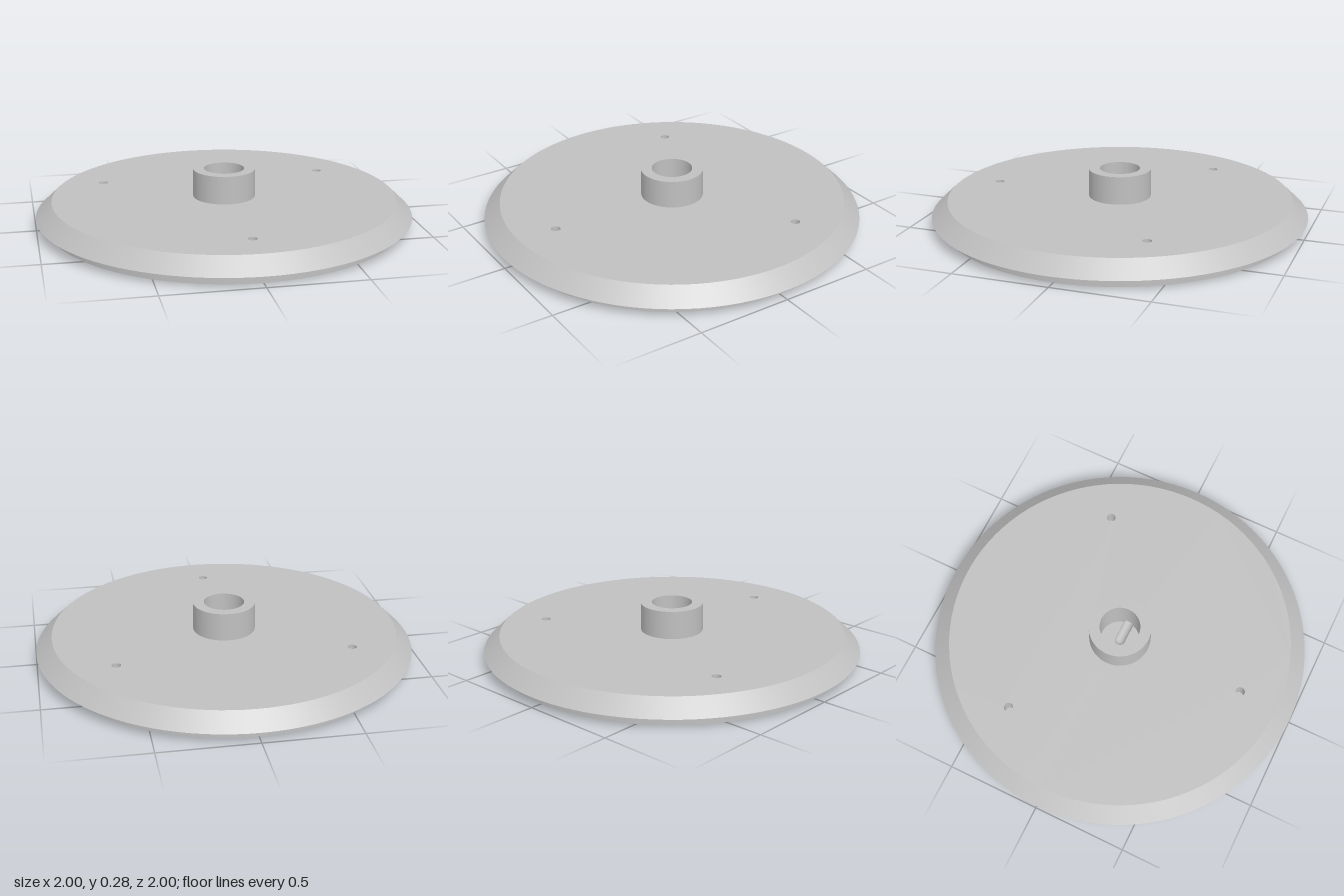
import * as THREE from 'three';
import { mergeGeometries } from 'three/addons/utils/BufferGeometryUtils.js';

const SEG = 96;

// heights
const RIM_Y = 0.055, TOP_Y = 0.135, HUB_Y = 0.285, FLOOR_Y = 0.08;
// radii
const BASE_R = 0.94, RIM_R = 1, TOP_R = 0.915, HUB_R = 0.165, BORE_R = 0.107;
const DUCT_R = 0.028, PORT_R = 0.042, PORT_X = 0.47, PIN_R = 0.024;

// Surface of revolution for one straight edge; rising faces outward, falling faces inward
function band(r0, y0, r1, y1, start = 0, length = Math.PI * 2, seg = SEG) {
  return new THREE.LatheGeometry([new THREE.Vector2(r0, y0), new THREE.Vector2(r1, y1)], seg, start, length);
}

// Flat disc with round holes given as [x, z, r]
function disc(radius, y, holes, facingUp = true) {
  const s = facingUp ? -1 : 1;
  const shape = new THREE.Shape().absarc(0, 0, radius, 0, Math.PI * 2);
  for (const [x, z, r] of holes) {
    shape.holes.push(new THREE.Path().absarc(x, s * z, r, 0, Math.PI * 2, true));
  }
  return new THREE.ShapeGeometry(shape, SEG / 2).rotateX(s * Math.PI / 2).translate(0, y, 0);
}

export function createModel() {
  const group = new THREE.Group();
  const grey = new THREE.MeshStandardMaterial({ color: 0xc0c0c0 });
  grey.name = 'grey';
  const add = (name, parts) => {
    const mesh = new THREE.Mesh(mergeGeometries(parts.map((g) => g.toNonIndexed())), grey);
    mesh.name = name;
    group.add(mesh);
  };

  // Three pin holes, evenly spaced
  const pins = [0, 1, 2].map((i) => {
    const a = i * Math.PI * 2 / 3;
    return [0.705 * Math.sin(a), 0.705 * Math.cos(a), PIN_R];
  });

  add('baseStep', [
    band(BASE_R, 0, BASE_R, RIM_Y),
    disc(BASE_R, 0, [[PORT_X, 0, PORT_R]], false),
  ]);
  add('bevelledPlate', [
    band(BASE_R, RIM_Y, RIM_R, RIM_Y),
    band(RIM_R, RIM_Y, TOP_R, TOP_Y),
    disc(TOP_R, TOP_Y, [[0, 0, HUB_R], ...pins]),
  ]);
  add('pinHoles', pins.flatMap(([x, z]) => [
    band(PIN_R, TOP_Y, PIN_R, 0.05, 0, Math.PI * 2, 32).translate(x, 0, z),
    disc(PIN_R, 0.05, []).translate(x, 0, z),
  ]));

  // Hub with a bore; the lowest part of the bore wall is open where the duct leaves
  const ductTop = FLOOR_Y + DUCT_R;
  const gap = Math.asin(DUCT_R / BORE_R);
  add('hub', [
    band(HUB_R, TOP_Y, HUB_R, HUB_Y),
    band(HUB_R, HUB_Y, BORE_R, HUB_Y),
    band(BORE_R, HUB_Y, BORE_R, ductTop),
    band(BORE_R, ductTop, BORE_R, FLOOR_Y, Math.PI / 2 + gap, Math.PI * 2 - 2 * gap),
  ]);

  // Bore floor, cut by a round-ended slot towards +x
  const floor = new THREE.Shape();
  floor.absarc(0, 0, BORE_R, gap, Math.PI * 2 - gap);
  floor.lineTo(0, -DUCT_R);
  floor.absarc(0, 0, DUCT_R, -Math.PI / 2, Math.PI / 2, true);
  floor.closePath();
  add('boreFloor', [new THREE.ShapeGeometry(floor, 48).rotateX(-Math.PI / 2).translate(0, FLOOR_Y, 0)]);

  // Duct: rounded end and open groove in the bore, then a closed tunnel to the port
  const mouth = BORE_R * Math.cos(gap);
  const arc = [];
  for (let i = 0; i <= 10; i++) {
    const a = i / 10 * Math.PI / 2;
    arc.push(new THREE.Vector2(DUCT_R * Math.cos(a), -DUCT_R * Math.sin(a)));
  }
  const lay = (g) => g.rotateZ(-Math.PI / 2).translate(0, FLOOR_Y, 0);
  add('duct', [
    lay(new THREE.LatheGeometry(arc, 24, 0, Math.PI)),
    lay(band(DUCT_R, mouth, DUCT_R, 0, 0, Math.PI, 24)),
    lay(band(DUCT_R, PORT_X - PORT_R, DUCT_R, mouth, 0, Math.PI * 2, 48)),
  ]);

  // Port opening through the underside
  add('port', [
    band(PORT_R, ductTop, PORT_R, 0, 0, Math.PI * 2, 48).translate(PORT_X, 0, 0),
    disc(PORT_R, ductTop, [], false).translate(PORT_X, 0, 0),
  ]);

  return group;
}
